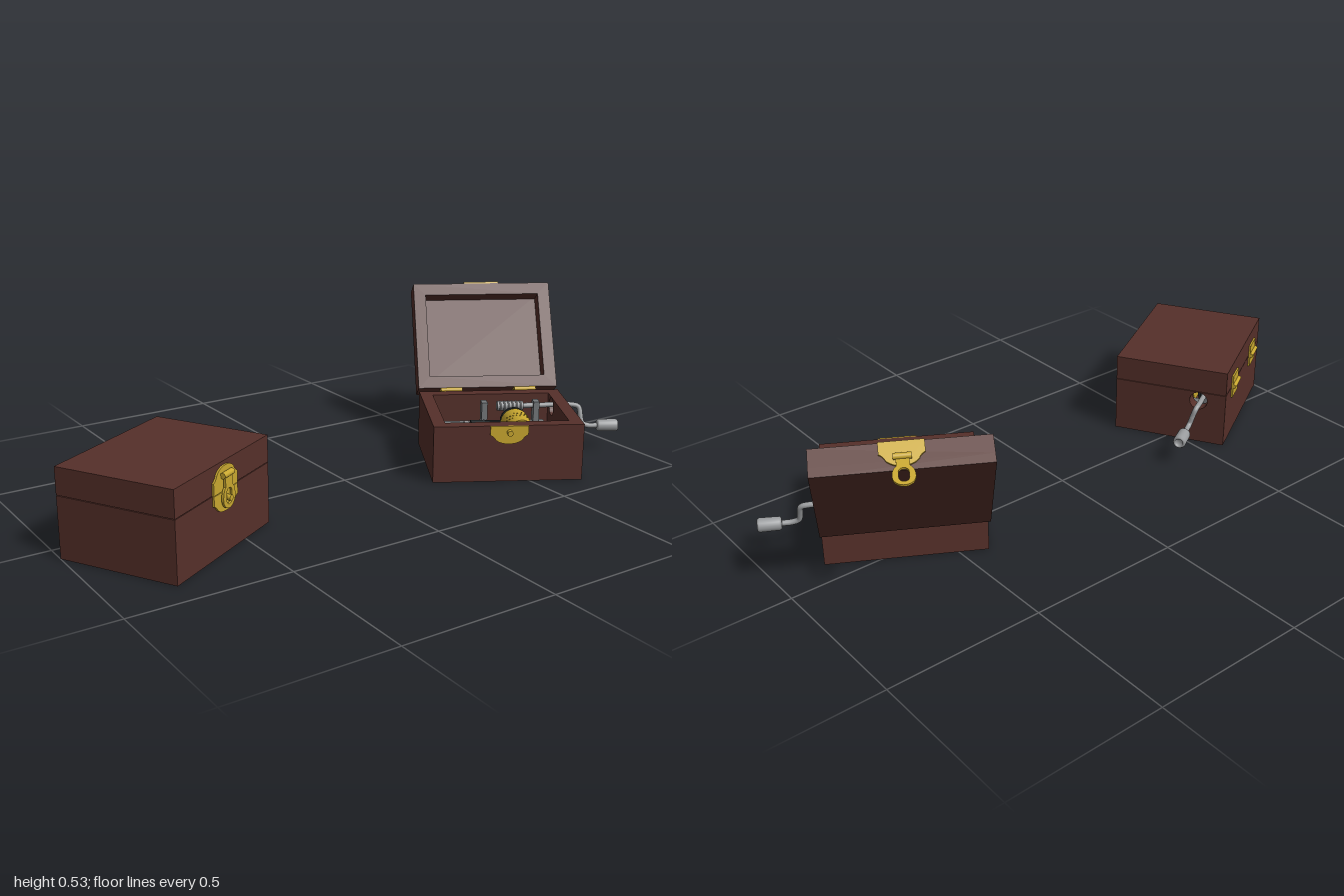
import * as THREE from 'three';

const mat = (name, color, side = THREE.FrontSide) => {
  const m = new THREE.MeshStandardMaterial({ color, side });
  m.name = name;
  return m;
};
const W = 0.49, D = 0.39, BASE_H = 0.19, LID_H = 0.084, T = 0.042;
const PIVOT_Y = 0.192, PIVOT_Z = -0.203;
const SHAFT_Y = 0.16, SHAFT_Z = -0.11;

export function createModel() {
  const wood = mat('wood', 0x56302a);
  const brass = mat('brass', 0xc9a830);
  const steel = mat('steel', 0x9a9c9e);
  const gunmetal = mat('gunmetal', 0x75797c);
  const dark = mat('dark comb', 0x2b3133);

  const add = (parent, name, geo, m, x = 0, y = 0, z = 0) => {
    const mesh = new THREE.Mesh(geo, m);
    mesh.name = name;
    mesh.position.set(x, y, z);
    parent.add(mesh);
    return mesh;
  };
  const box = (parent, name, m, w, h, d, x, y, z) =>
    add(parent, name, new THREE.BoxGeometry(w, h, d), m, x, y, z);
  const cyl = (parent, name, m, r, len, axis, x, y, z, seg = 24) => {
    const geo = new THREE.CylinderGeometry(r, r, len, seg);
    if (axis === 'x') geo.rotateZ(-Math.PI / 2);
    if (axis === 'z') geo.rotateX(Math.PI / 2);
    return add(parent, name, geo, m, x, y, z);
  };
  const extrude = (shape, depth) =>
    new THREE.ExtrudeGeometry(shape, { depth, bevelEnabled: false, curveSegments: 16 });
  const rect = (w, h) => new THREE.Shape([[-w, -h], [w, -h], [w, h], [-w, h]]
    .map(([x, y]) => new THREE.Vector2(x / 2, y / 2)));
  const hole = (shape, x, y, r) => {
    const p = new THREE.Path();
    p.absarc(x, y, r, 0, Math.PI * 2, true);
    shape.holes.push(p);
  };

  // Arched clasp plate, flat edge on y = 0
  const dome = (h) => {
    const s = new THREE.Shape();
    s.moveTo(-0.062, 0);
    s.lineTo(0.062, 0);
    s.lineTo(0.062, h * 0.5);
    s.quadraticCurveTo(0.048, h * 0.6, 0.045, h * 0.75);
    s.quadraticCurveTo(0.03, h, 0, h);
    s.quadraticCurveTo(-0.03, h, -0.045, h * 0.75);
    s.quadraticCurveTo(-0.048, h * 0.6, -0.062, h * 0.5);
    return extrude(s, 0.006);
  };

  // Swinging hasp with a slotted ring, hanging down from its pivot
  const haspGeometry = () => {
    const s = new THREE.Shape();
    s.moveTo(0.018, 0);
    s.lineTo(-0.018, 0);
    s.lineTo(-0.018, -0.035);
    s.quadraticCurveTo(-0.031, -0.045, -0.031, -0.07);
    s.absarc(0, -0.07, 0.031, Math.PI, Math.PI * 2, false);
    s.quadraticCurveTo(0.031, -0.045, 0.018, -0.035);
    const slot = new THREE.Path();
    slot.moveTo(0.014, -0.055);
    slot.absarc(0, -0.055, 0.014, 0, Math.PI, false);
    slot.lineTo(-0.014, -0.075);
    slot.absarc(0, -0.075, 0.014, Math.PI, Math.PI * 2, false);
    s.holes.push(slot);
    return extrude(s, 0.007);
  };

  function buildBase(parent) {
    const g = new THREE.Group();
    g.name = 'base';
    parent.add(g);
    box(g, 'floor', wood, W - 0.001, 0.03, D - 0.001, 0, 0.0151, 0);
    for (const s of [1, -1])
      box(g, s > 0 ? 'frontWall' : 'backWall', wood, W, BASE_H, T, 0, BASE_H / 2, s * (D - T) / 2);
    box(g, 'rightWall', wood, T, BASE_H, D - 2 * T, -(W - T) / 2, BASE_H / 2, 0);
    // Side wall pierced for the crank
    const side = rect(D - 2 * T, BASE_H);
    hole(side, 0.1, 0.157 - BASE_H / 2, 0.031);
    add(g, 'crankWall', extrude(side, T).rotateY(Math.PI / 2), wood, W / 2 - T, BASE_H / 2, 0);
    // Lower clasp plate with staple
    add(g, 'lowerClaspPlate', dome(0.06).rotateZ(Math.PI), brass, 0, BASE_H, D / 2);
    cyl(g, 'staple', brass, 0.009, 0.024, 'z', 0, 0.17, D / 2 + 0.012);
    for (const x of [-0.13, 0.13]) {
      box(g, 'lowerHingeLeaf', brass, 0.075, 0.04, 0.006, x, 0.17, -D / 2 - 0.003);
      cyl(g, 'hingeBarrel', brass, 0.008, 0.075, 'x', x, PIVOT_Y, PIVOT_Z);
    }
  }

  function buildLid(parent, open) {
    const g = new THREE.Group();
    g.name = 'lid';
    g.position.set(0, PIVOT_Y, PIVOT_Z);
    g.rotation.x = -open;
    parent.add(g);
    const cz = -PIVOT_Z, front = cz + D / 2;
    const frame = rect(W, D);
    frame.holes.push(rect(W - 2 * T, D - 2 * T));
    add(g, 'lidFrame', extrude(frame, LID_H - 0.028).rotateX(-Math.PI / 2), wood, 0, 0, cz);
    box(g, 'lidTop', wood, W, 0.028, D, 0, LID_H - 0.014, cz);
    for (const x of [-0.13, 0.13])
      box(g, 'upperHingeLeaf', brass, 0.075, 0.036, 0.006, x, 0.02, cz - D / 2 - 0.003);
    // Upper clasp plate, pivot and hasp
    add(g, 'upperClaspPlate', dome(0.073), brass, 0, 0, front);
    cyl(g, 'haspPivot', brass, 0.009, 0.05, 'x', 0, 0.048, front + 0.012);
    const hasp = add(g, 'hasp', haspGeometry(), brass, 0, 0.048, front + 0.01);
    hasp.rotation.x = open ? -2.85 : 0;
  }

  function buildCrank(parent) {
    const g = new THREE.Group();
    g.name = 'crank';
    parent.add(g);
    const path = new THREE.CatmullRomCurve3([
      [0.02, SHAFT_Y, SHAFT_Z], [0.15, SHAFT_Y, SHAFT_Z], [0.275, SHAFT_Y, SHAFT_Z],
      [0.3, 0.153, -0.106], [0.306, 0.125, -0.097], [0.311, 0.1, -0.09],
      [0.33, 0.091, -0.087], [0.37, 0.09, -0.087],
    ].map((p) => new THREE.Vector3(...p)), false, 'centripetal');
    add(g, 'crankRod', new THREE.TubeGeometry(path, 64, 0.009, 12), steel);
    // Grip with a recessed end
    const profile = [[0, 0], [0.016, 0], [0.021, 0.006], [0.022, 0.066], [0.019, 0.072],
      [0.013, 0.072], [0.012, 0.064], [0, 0.064]].map((p) => new THREE.Vector2(...p));
    add(g, 'grip', new THREE.LatheGeometry(profile, 24).rotateZ(-Math.PI / 2), steel, 0.362, 0.09, -0.087);
  }

  function buildMovement(parent) {
    const g = new THREE.Group();
    g.name = 'movement';
    parent.add(g);
    // Bed plate with mounting holes
    const plate = rect(0.36, 0.22);
    for (const y of [-0.06, 0, 0.06]) hole(plate, -0.15, y, 0.012);
    plate.holes.push(new THREE.Path([[0.0, -0.08], [0.13, -0.08], [0.13, 0.075], [0.0, 0.075]]
      .map((p) => new THREE.Vector2(...p))));
    add(g, 'bedPlate', extrude(plate, 0.02).rotateX(-Math.PI / 2), gunmetal, 0, 0.085, -0.01);
    for (const x of [-0.16, 0.16]) for (const z of [-0.095, 0.075])
      cyl(g, 'foot', gunmetal, 0.013, 0.06, 'y', x, 0.058, z);
    // Tuned comb with its clamp and screws
    box(g, 'combClamp', gunmetal, 0.05, 0.014, 0.14, -0.09, 0.112, 0.01);
    box(g, 'combBack', dark, 0.05, 0.008, 0.14, -0.06, 0.123, 0.01);
    for (let i = 0; i < 18; i++)
      box(g, 'combTooth', dark, 0.055, 0.006, 0.0055, -0.01, 0.123, -0.056 + i * 0.0078);
    for (const z of [-0.04, 0.01, 0.06])
      cyl(g, 'combScrew', steel, 0.011, 0.01, 'y', -0.1, 0.123, z, 16);
    // Pinned drum
    const dx = 0.066, dy = 0.12, dz = 0.012, r = 0.048;
    cyl(g, 'drum', brass, r, 0.125, 'z', dx, dy, dz, 32);
    for (let i = 0; i < 60; i++) {
      const a = i * 2.4, z = dz - 0.052 + ((i * 7) % 18) * 0.0062;
      box(g, 'drumPin', brass, 0.004, 0.004, 0.003, dx + Math.cos(a) * r, dy + Math.sin(a) * r, z);
    }
    cyl(g, 'drumAxle', steel, 0.009, 0.19, 'z', dx, dy, 0);
    cyl(g, 'drumGear', dark, 0.046, 0.008, 'z', dx, dy, -0.07, 24);
    for (const z of [0.088, -0.083])
      box(g, 'drumBracket', gunmetal, 0.05, 0.06, 0.01, dx, 0.115, z);
    // Worm housing carrying the crank shaft
    for (const x of [-0.03, 0.15])
      box(g, 'shaftBracket', gunmetal, 0.02, 0.08, 0.034, x, 0.137, SHAFT_Z);
    cyl(g, 'worm', steel, 0.016, 0.09, 'x', 0.06, SHAFT_Y, SHAFT_Z, 16);
    for (let i = 0; i < 6; i++)
      add(g, 'wormThread', new THREE.TorusGeometry(0.016, 0.003, 6, 16).rotateY(Math.PI / 2),
        steel, 0.025 + i * 0.014, SHAFT_Y, SHAFT_Z);
  }

  const root = new THREE.Group();
  root.name = 'musicBoxes';
  for (const [name, x, z, turn, open] of [
    ['closedMusicBox', -0.69, 0.116, Math.PI / 6, 0],
    ['openMusicBox', 0.535, 0.13, -Math.PI / 6, 2.15],
  ]) {
    const g = new THREE.Group();
    g.name = name;
    g.position.set(x, 0, z);
    g.rotation.y = turn;
    root.add(g);
    buildBase(g);
    buildLid(g, open);
    buildCrank(g);
    buildMovement(g);
  }
  return root;
}
